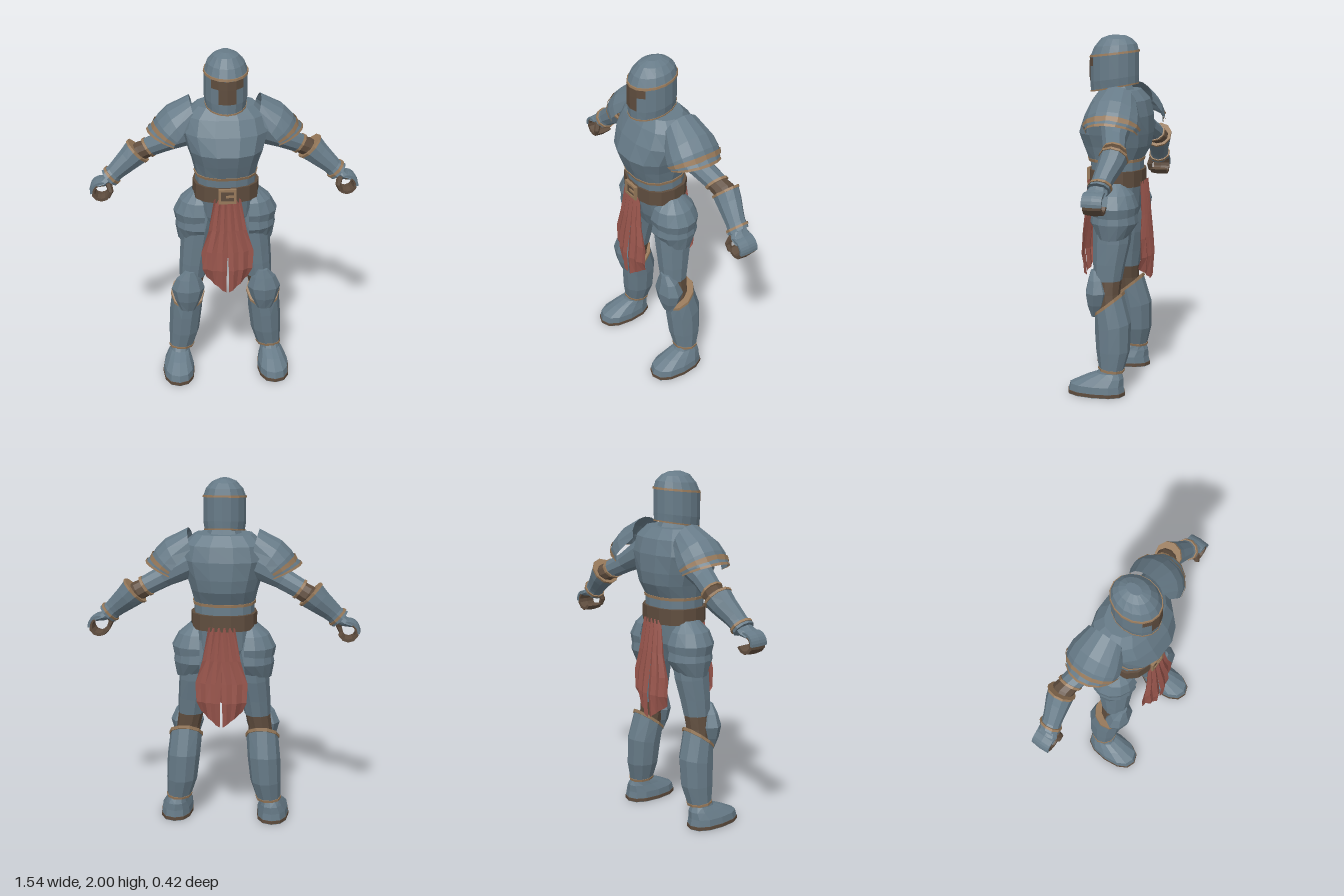
import * as THREE from 'three';

const paint = (name, color) => Object.assign(
  new THREE.MeshStandardMaterial({ color, flatShading: true, side: THREE.DoubleSide }), { name });
const V = (x, y, z) => new THREE.Vector3(x, y, z);
const mean = (pts) => pts.reduce((a, p) => a.add(p), V(0, 0, 0)).divideScalar(pts.length);

// Skin a list of point rows; every face is turned to look away from the core.
function skin(rows, closed = true) {
  const out = [];
  const tri = (a, b, c, away) => {
    const n = b.clone().sub(a).cross(c.clone().sub(a));
    const order = n.dot(away) < 0 ? [a, c, b] : [a, b, c];
    order.forEach((p) => out.push(p.x, p.y, p.z));
  };
  const mids = rows.map(mean);
  for (let i = 0; i + 1 < rows.length; i++) {
    const core = mids[i].clone().add(mids[i + 1]).multiplyScalar(0.5);
    const n = rows[i].length;
    for (let j = 0; j < (closed ? n : n - 1); j++) {
      const k = (j + 1) % n;
      const q = [rows[i][j], rows[i][k], rows[i + 1][k], rows[i + 1][j]];
      const away = mean(q).sub(core);
      tri(q[0], q[1], q[2], away);
      tri(q[0], q[2], q[3], away);
    }
  }
  if (closed) {
    const L = rows.length - 1;
    for (const [e, o] of [[0, 1], [L, L - 1]]) {
      const away = mids[e].clone().sub(mids[o]);
      rows[e].forEach((p, j) => tri(p, rows[e][(j + 1) % rows[e].length], mids[e], away));
    }
  }
  const g = new THREE.BufferGeometry();
  g.setAttribute('position', new THREE.Float32BufferAttribute(out, 3));
  g.computeVertexNormals();
  return g;
}

// One cross-section: [x, y, z, radiusU, radiusZ, roll, pitch]; s mirrors it in x.
function ring([x, y, z, ru, rv, roll = 0, pitch = 0], { s = 1, sides = 10, square = 1, arc } = {}) {
  const [a0, a1] = arc || [0, Math.PI * 2];
  const pow = (t) => Math.sign(t) * Math.abs(t) ** square;
  return Array.from({ length: arc ? sides + 1 : sides }, (_, j) => {
    const a = a0 + (a1 - a0) * j / sides;
    const u = pow(Math.cos(a)) * ru, v = pow(Math.sin(a)) * rv;
    return V(s * (x + u * Math.cos(roll)), y + u * Math.sin(roll) + v * Math.sin(pitch), z + v * Math.cos(pitch));
  });
}

export function createModel() {
  const steel = paint('steel', 0x677b88), leather = paint('leather', 0x5f4d3e);
  const trim = paint('bronze trim', 0x987a5b), red = paint('red cloth', 0x98554c);
  const root = new THREE.Group();
  root.name = 'armouredKnight';
  const add = (name, geo, mat) => {
    const m = new THREE.Mesh(geo, mat);
    m.name = name;
    root.add(m);
    return m;
  };
  const loft = (name, mat, rings, o = {}) => add(name, skin(rings.map((r) => ring(r, o)), !o.arc), mat);
  // Raised band around two neighbouring sections
  const band = (name, a, b, o, t = 0.006) => {
    const grow = (r, d) => r.map((v, i) => (i === 3 || i === 4 ? v + d : v));
    loft(name, trim, [grow(a, -0.004), grow(a, t), grow(b, t), grow(b, -0.004)], o);
  };

  // Helmet
  const hs = { sides: 16 };
  loft('helmet', steel, [
    [0, 1.71, 0.02, 0.112, 0.14, 0, -0.18], [0, 1.76, 0.02, 0.12, 0.141, 0, -0.15],
    [0, 1.9, 0.02, 0.119, 0.14, 0, -0.12], [0, 1.945, 0.015, 0.103, 0.122, 0, -0.08],
    [0, 1.982, 0.01, 0.07, 0.088], [0, 2, 0.005, 0.028, 0.045]], hs);
  band('helmetBrowTrim', [0, 1.893, 0.02, 0.119, 0.14, 0, -0.12], [0, 1.905, 0.02, 0.117, 0.138, 0, -0.12], hs, 0.005);
  band('helmetRim', [0, 1.708, 0.02, 0.112, 0.14, 0, -0.18], [0, 1.716, 0.02, 0.113, 0.14, 0, -0.18], hs, 0.003);
  const front = (d) => [Math.PI / 2 - d, Math.PI / 2 + d];
  loft('visorSlot', leather, [[0, 1.845, 0.02, 0.123, 0.145, 0, -0.13], [0, 1.892, 0.02, 0.122, 0.144, 0, -0.12]],
    { sides: 4, arc: front(Math.PI / 4) });
  loft('visorBreath', leather, [[0, 1.765, 0.02, 0.123, 0.145, 0, -0.14], [0, 1.846, 0.02, 0.123, 0.145, 0, -0.13]],
    { sides: 2, arc: front(Math.PI / 8) });

  // Torso
  const ts = { sides: 14, square: 0.85 };
  loft('gorget', steel, [[0, 1.65, -0.01, 0.13, 0.13], [0, 1.695, 0, 0.1, 0.095], [0, 1.75, 0.01, 0.075, 0.075]], { sides: 8 });
  loft('breastplate', steel, [
    [0, 1.31, 0.01, 0.173, 0.152], [0, 1.39, 0.004, 0.192, 0.19], [0, 1.46, 0.01, 0.215, 0.207],
    [0, 1.56, -0.008, 0.245, 0.188], [0, 1.645, -0.02, 0.225, 0.155], [0, 1.7, -0.015, 0.165, 0.11]], ts);
  loft('abdomen', steel, [[0, 1.21, 0, 0.172, 0.145], [0, 1.31, 0.005, 0.17, 0.147]], ts);
  band('waistTrim', [0, 1.302, 0.008, 0.172, 0.15], [0, 1.318, 0.01, 0.174, 0.154], ts);
  loft('belt', leather, [[0, 1.165, 0, 0.187, 0.157], [0, 1.255, 0, 0.187, 0.157]], ts);
  loft('pelvis', steel, [[0, 0.95, -0.01, 0.09, 0.085], [0, 1.05, -0.01, 0.165, 0.125], [0, 1.18, 0, 0.172, 0.145]], ts);

  // Belt buckle
  const box = (name, mat, w, h, d, x, y, z) =>
    add(name, new THREE.BoxGeometry(w, h, d), mat).position.set(x, y, z);
  for (const e of [-1, 1]) {
    box('buckleSide', trim, 0.014, 0.085, 0.022, e * 0.043, 1.21, 0.16);
    box('buckleBar', trim, 0.1, 0.014, 0.022, 0, 1.21 + e * 0.036, 0.16);
  }
  box('bucklePlate', leather, 0.08, 0.07, 0.012, 0, 1.21, 0.159);
  box('buckleTongue', trim, 0.05, 0.012, 0.014, 0.015, 1.21, 0.165);

  // Split pleated cloths, front and back: [y, inner x, outer x, z]
  const hang = [[1.19, 0, 0.075, 0.15], [1.0, 0, 0.108, 0.172], [0.87, 0.001, 0.148, 0.187],
    [0.76, 0.006, 0.142, 0.2], [0.615, 0.008, 0.118, 0.192]];
  for (const f of [1, -1]) for (const s of [1, -1]) {
    const rows = hang.map(([y, x0, x1, z], i) => Array.from({ length: 6 }, (_, c) => {
      const k = c / 5;
      const fold = (c % 2 ? 0.008 : -0.004) - 0.05 * k * k * i / 4;
      return V(s * (x0 + (x1 - x0) * k), y + (i === 4 ? 0.085 * k : 0), f * (z + fold));
    }));
    add(f > 0 ? 'frontCloth' : 'backCloth', skin(rows, false), red);
  }

  for (const s of [1, -1]) {
    const o = { s, sides: 10 }, shell = { s, sides: 8, arc: [-1.66, 1.66] };
    const tilt = (t) => Math.PI / 2 - t;

    // Shoulder plates
    loft('pauldron', steel, [
      [0.175, 1.635, -0.045, 0.1, 0.11, tilt(0.25)], [0.25, 1.56, -0.045, 0.132, 0.15, tilt(0.6)],
      [0.28, 1.525, -0.045, 0.133, 0.157, tilt(0.85)], [0.303, 1.502, -0.045, 0.12, 0.152, tilt(1.1)]], shell);
    loft('pauldronTrim', trim, [[0.289, 1.516, -0.045, 0.135, 0.161, tilt(0.95)],
      [0.3, 1.505, -0.045, 0.128, 0.158, tilt(1.07)]], shell);
    loft('pauldronLame', steel, [[0.29, 1.53, -0.045, 0.115, 0.145, tilt(0.9)],
      [0.3, 1.485, -0.045, 0.148, 0.142, tilt(1.15)]], shell);
    loft('lameTrim', trim, [[0.299, 1.491, -0.045, 0.147, 0.145, tilt(1.11)],
      [0.301, 1.483, -0.045, 0.151, 0.145, tilt(1.16)]], shell);

    // Arm
    const ua = tilt(0.6), fa = tilt(0.75);
    loft('upperArm', steel, [[0.18, 1.54, -0.04, 0.09, 0.095, ua], [0.33, 1.46, -0.07, 0.062, 0.068, ua],
      [0.43, 1.41, -0.1, 0.057, 0.062, ua]], o);
    band('upperArmTrim', [0.422, 1.413, -0.1, 0.056, 0.062, ua], [0.435, 1.406, -0.102, 0.056, 0.062, ua], o);
    loft('elbow', leather, [[0.42, 1.41, -0.1, 0.052, 0.057, ua], [0.47, 1.385, -0.115, 0.055, 0.062, ua],
      [0.54, 1.34, -0.11, 0.05, 0.055, fa]], o);
    loft('vambrace', steel, [[0.49, 1.384, -0.115, 0.083, 0.075, fa], [0.535, 1.343, -0.108, 0.071, 0.07, fa],
      [0.6, 1.288, -0.092, 0.057, 0.058, fa], [0.65, 1.243, -0.082, 0.048, 0.052, fa]], o);
    band('vambraceTrim', [0.486, 1.388, -0.115, 0.082, 0.074, fa], [0.496, 1.379, -0.114, 0.081, 0.074, fa], o, 0.005);
    loft('wristCuff', steel, [[0.612, 1.277, -0.09, 0.05, 0.053, fa], [0.655, 1.238, -0.08, 0.06, 0.062, fa]], o);
    band('wristTrim', [0.634, 1.257, -0.085, 0.057, 0.06, fa], [0.644, 1.248, -0.083, 0.058, 0.061, fa], o, 0.005);

    // Gauntlet with curled fingers
    const curl = (r, t, w, from, to) => Array.from({ length: 9 }, (_, i) => {
      const a = from + (to - from) * i / 8;
      return [0.702 + r * Math.cos(a), 1.172 + r * Math.sin(a), -0.072, t, w, a];
    });
    loft('handBack', steel, [[0.64, 1.25, -0.08, 0.04, 0.045, fa], [0.68, 1.225, -0.075, 0.028, 0.06, tilt(0.55)],
      [0.722, 1.212, -0.072, 0.016, 0.058, tilt(0.55)]], { s, sides: 8 });
    loft('knuckles', steel, curl(0.056, 0.011, 0.06, 1.9, -0.1), { s, sides: 6, square: 0.7 });
    loft('fingers', leather, curl(0.048, 0.014, 0.055, 1.9, -2.7), { s, sides: 6, square: 0.7 });
    loft('thumb', leather, [[0.66, 1.225, -0.035, 0.02, 0.02], [0.648, 1.18, -0.02, 0.016, 0.018],
      [0.665, 1.14, -0.022, 0.012, 0.014]], { s, sides: 6 });

    // Hip plates
    const hip = { s, sides: 8, arc: [-1.75, 1.75] };
    loft('upperTasset', steel, [[0.15, 1.19, -0.015, 0.04, 0.06], [0.15, 1.13, -0.015, 0.11, 0.115],
      [0.15, 1.06, -0.018, 0.147, 0.138], [0.15, 1.02, -0.02, 0.138, 0.13, -0.1]], hip);
    loft('lowerTasset', steel, [[0.15, 1.07, -0.02, 0.12, 0.12], [0.15, 0.97, -0.02, 0.138, 0.135],
      [0.15, 0.905, -0.02, 0.125, 0.095, -0.2]], hip);

    // Leg
    loft('thigh', steel, [[0.12, 1.1, -0.01, 0.08, 0.1], [0.15, 0.98, -0.012, 0.1, 0.112],
      [0.167, 0.86, -0.01, 0.093, 0.107], [0.183, 0.74, 0, 0.084, 0.092], [0.193, 0.645, 0.005, 0.076, 0.08]], o);
    loft('kneeLeather', leather, [[0.193, 0.65, 0.004, 0.073, 0.078], [0.208, 0.57, 0, 0.068, 0.068],
      [0.222, 0.45, -0.015, 0.068, 0.068]], o);
    loft('kneePlate', steel, [[0.21, 0.7, 0.075, 0.032, 0.025], [0.218, 0.65, 0.062, 0.07, 0.05],
      [0.222, 0.58, 0.055, 0.097, 0.072], [0.224, 0.51, 0.06, 0.076, 0.056], [0.226, 0.44, 0.07, 0.042, 0.02]], { s, sides: 8 });
    loft('greave', steel, [[0.223, 0.515, -0.01, 0.093, 0.103, 0, -0.68], [0.235, 0.39, -0.036, 0.095, 0.105, 0, -0.2],
      [0.246, 0.25, -0.04, 0.089, 0.096], [0.264, 0.14, -0.035, 0.07, 0.07, 0, 0.1]], o);
    band('greaveTopTrim', [0.224, 0.505, -0.012, 0.093, 0.103, 0, -0.66], [0.223, 0.522, -0.01, 0.093, 0.103, 0, -0.68], o);
    band('greaveHem', [0.264, 0.138, -0.035, 0.069, 0.069, 0, 0.1], [0.262, 0.152, -0.035, 0.071, 0.072, 0, 0.1], o, 0.005);

    // Boot
    const bo = { s, sides: 12, square: 0.85 };
    loft('boot', steel, [[0.285, 0.02, 0.047, 0.092, 0.165], [0.284, 0.06, 0.045, 0.088, 0.156],
      [0.28, 0.1, 0.005, 0.068, 0.115], [0.275, 0.128, -0.025, 0.055, 0.07], [0.27, 0.17, -0.035, 0.052, 0.055]], bo);
    loft('soleRim', leather, [[0.285, 0.003, 0.047, 0.094, 0.168], [0.285, 0.022, 0.047, 0.094, 0.168]], bo);
    loft('soleBottom', steel, [[0.285, 0, 0.047, 0.092, 0.166], [0.285, 0.004, 0.047, 0.092, 0.166]], bo);
  }
  return root;
}
